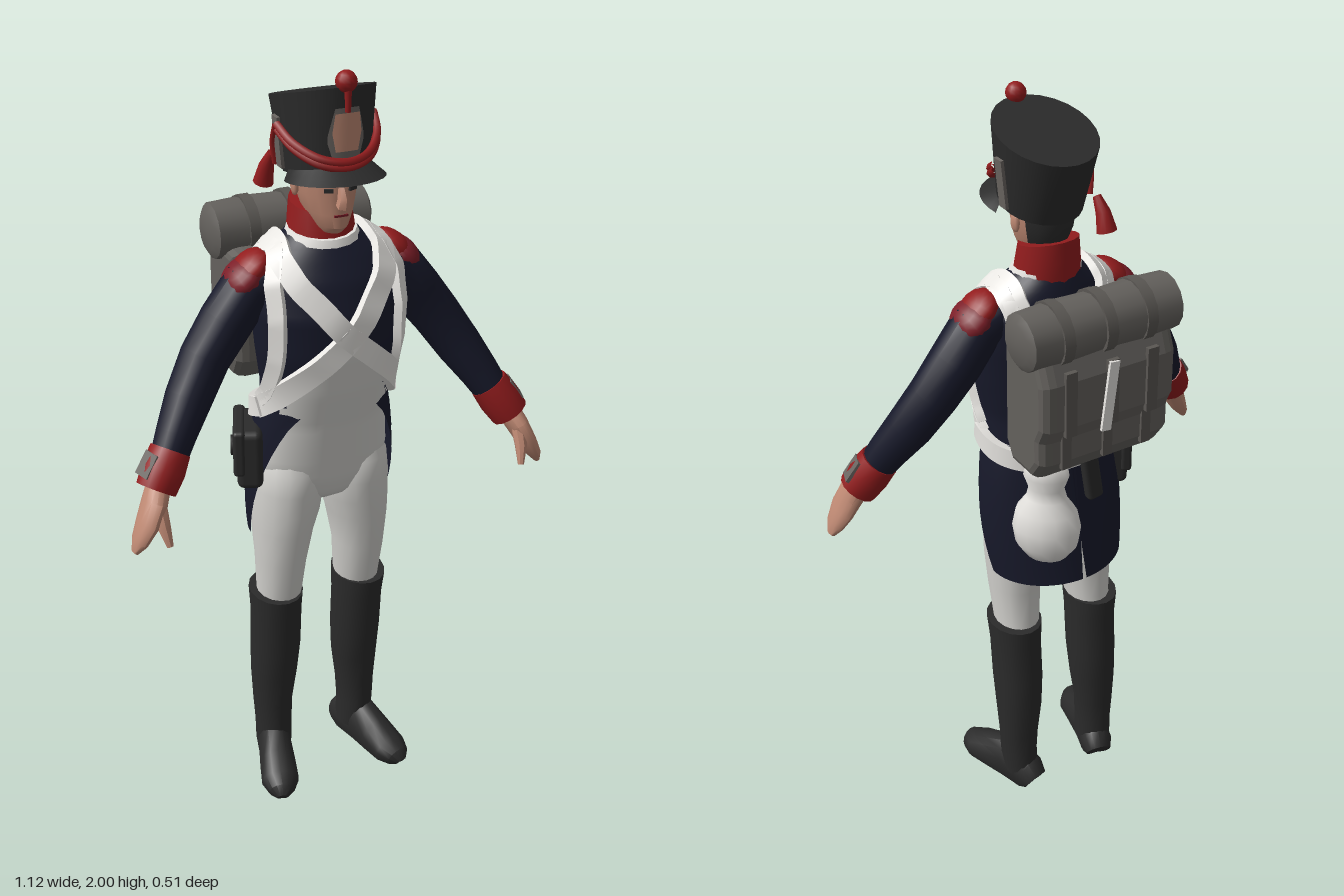
import * as THREE from 'three';
import { toCreasedNormals } from 'three/addons/utils/BufferGeometryUtils.js';
import { RoundedBoxGeometry } from 'three/addons/geometries/RoundedBoxGeometry.js';

const V = (x, y, z) => new THREE.Vector3(x, y, z);
const lerp = THREE.MathUtils.lerp;

function mat(name, color, side = THREE.FrontSide) {
  return new THREE.MeshStandardMaterial({ name, color, side });
}

// Skin over closed rings, capped at both ends; pick(i, j) chooses a material per quad
function loft(rings, pick = () => 0) {
  const n = rings[0].length, pos = [], lists = [];
  rings.forEach(r => r.forEach(p => pos.push(p.x, p.y, p.z)));
  const add = (m, ...t) => (lists[m] ??= []).push(...t);
  for (let i = 0; i < rings.length - 1; i++) for (let j = 0; j < n; j++) {
    const a = i * n + j, b = i * n + (j + 1) % n;
    add(pick(i, j), a, b, b + n, a, b + n, a + n);
  }
  [0, rings.length - 1].forEach((i, top) => {
    const c = rings[i].reduce((s, p) => s.add(p), V(0, 0, 0)).divideScalar(n);
    const k = pos.push(c.x, c.y, c.z) / 3 - 1;
    for (let j = 0; j < n; j++) {
      const a = i * n + j, b = i * n + (j + 1) % n;
      top ? add(pick(i - 1, j), k, a, b) : add(pick(0, j), k, b, a);
    }
  });
  const g = new THREE.BufferGeometry(), index = [];
  lists.forEach((l, m) => { g.addGroup(index.length, l.length, m); index.push(...l); });
  g.setAttribute('position', new THREE.Float32BufferAttribute(pos, 3));
  g.setIndex(index);
  if (lists.length === 1) g.clearGroups();
  return toCreasedNormals(g, 0.7);
}

// Point on an upright ring [y, halfWidth, zFront, zBack, centreX, tilt]; angle 0 is the front
function ringPoint([y, rx, zf, zb, cx = 0, tilt = 0], a) {
  return V(cx + rx * Math.sin(a), y + tilt * Math.cos(a), (zf + zb) / 2 + (zf - zb) / 2 * Math.cos(a));
}
const upright = (rows, segs = 16, pick) =>
  loft(rows.map(r => Array.from({ length: segs }, (_, j) => ringPoint(r, j / segs * Math.PI * 2))), pick);

// Limb along a path of [x, y, z, radius toward ref, radius across]
function limb(path, ref = V(0, 0, 1), segs = 14, floor = -1) {
  const c = path.map(p => V(p[0], p[1], p[2]));
  return loft(path.map((p, i) => {
    const t = c[Math.min(i + 1, c.length - 1)].clone().sub(c[Math.max(i - 1, 0)]).normalize();
    const u = ref.clone().addScaledVector(t, -ref.dot(t)).normalize(), v = t.clone().cross(u);
    return Array.from({ length: segs }, (_, j) => {
      const a = j / segs * Math.PI * 2;
      const q = c[i].clone().addScaledVector(u, p[3] * Math.cos(a)).addScaledVector(v, (p[4] ?? p[3]) * Math.sin(a));
      q.y = Math.max(q.y, floor);
      return q;
    });
  }));
}

// Open sheet from a function of u, v
function sheet(fn, nu, nv) {
  const g = new THREE.PlaneGeometry(1, 1, nu, nv), p = g.attributes.position, uv = g.attributes.uv;
  for (let i = 0; i < p.count; i++) p.setXYZ(i, ...fn(uv.getX(i), 1 - uv.getY(i)).toArray());
  g.computeVertexNormals();
  return g;
}

// Torso surface, shared by the body and the belts
const TORSO = [[0.865, 0.03, 0.075, -0.01], [0.9, 0.12, 0.125, -0.06], [0.95, 0.172, 0.142, -0.075], [1, 0.18, 0.15, -0.078],
  [1.12, 0.166, 0.168, -0.065], [1.22, 0.166, 0.192, -0.055], [1.32, 0.18, 0.208, -0.06], [1.42, 0.188, 0.207, -0.065],
  [1.5, 0.185, 0.178, -0.06], [1.55, 0.15, 0.145, -0.048], [1.59, 0.09, 0.115, -0.035], [1.62, 0.06, 0.1, -0.02]];
function torsoRow(y) {
  let i = TORSO.findIndex(r => r[0] >= y);
  if (i < 1) i = i < 0 ? TORSO.length - 1 : 1;
  const [a, b] = [TORSO[i - 1], TORSO[i]], t = (y - a[0]) / (b[0] - a[0]);
  return a.map((v, k) => lerp(v, b[k], t));
}
const onTorso = (a, y) => ringPoint(torsoRow(y), a);

// Flat strap lying on the torso along [angle, y] points
function strap(points, width, lift = 0.008) {
  const curve = new THREE.CatmullRomCurve3(points.map(([a, y]) => V(a, y, 0)));
  const c = curve.getPoints(56).map(p => {
    const n = onTorso(p.x + 0.1, p.y).sub(onTorso(p.x - 0.1, p.y))
      .cross(onTorso(p.x, p.y + 0.02).sub(onTorso(p.x, p.y - 0.02))).normalize();
    return { p: onTorso(p.x, p.y).addScaledVector(n, lift), n };
  });
  return loft(c.map(({ p, n }, i) => {
    const t = c[Math.min(i + 1, 56)].p.clone().sub(c[Math.max(i - 1, 0)].p).normalize();
    const v = t.cross(n).normalize();
    return [[0.011, -1], [0.011, 1], [-0.01, 1], [-0.01, -1]].map(([h, w]) =>
      p.clone().addScaledVector(n, h).addScaledVector(v, w * width / 2));
  }));
}

export function createModel() {
  const root = new THREE.Group();
  const navy = mat('navy cloth', 0x17192a, THREE.DoubleSide), white = mat('white leather', 0xe9e7e3);
  const linen = mat('trouser linen', 0xd3d2ce), black = mat('black leather', 0x2b2b2b, THREE.DoubleSide);
  const red = mat('red cloth', 0x921c1d), crimson = mat('epaulette crimson', 0x7c1e28);
  const skin = mat('skin', 0xc08a74), grey = mat('pack canvas', 0x64615d);
  const darkStrap = mat('pack strap', 0x5a5753), metal = mat('tarnished metal', 0x6a6561);
  const add = (name, geo, material, x = 0, y = 0, z = 0) => {
    const m = new THREE.Mesh(geo, material);
    m.name = name;
    m.position.set(x, y, z);
    root.add(m);
    return m;
  };

  // Torso: trousers, waistcoat and coat in one surface
  const ys = Array.from({ length: 51 }, (_, i) => 0.865 + i * 0.015);
  add('torso', upright(ys.map(torsoRow), 48, (i, j) => {
    const y = ys[i] + 0.008, a = Math.abs((j + 0.5 > 24 ? j + 0.5 - 48 : j + 0.5) / 48 * Math.PI * 2);
    return (y < 1.15 && a < 1.3) || y < 1 || a < Math.min((1.38 - y) * 5, 1.15) ? 0 : 1;
  }), [linen, navy]);

  for (const s of [1, -1]) {
    const side = s > 0 ? 'left' : 'right';
    // Legs and boots
    const leg = rows => upright(rows.map(([y, rx, zf, zb, cx]) => [y, rx, zf, zb, cx * s]), 16);
    add(side + 'TrouserLeg', leg([[0.55, 0.055, 0.09, -0.05, 0.115], [0.6, 0.06, 0.1, -0.045, 0.112],
      [0.7, 0.067, 0.12, -0.045, 0.111], [0.8, 0.08, 0.135, -0.06, 0.105], [0.86, 0.09, 0.142, -0.07, 0.096],
      [0.92, 0.092, 0.144, -0.07, 0.092], [0.98, 0.088, 0.14, -0.068, 0.09], [1.05, 0.06, 0.1, -0.04, 0.08]]), linen);
    add(side + 'BootShaft', leg([[0.05, 0.048, 0.06, -0.06, 0.124], [0.13, 0.05, 0.062, -0.055, 0.126],
      [0.2, 0.054, 0.06, -0.058, 0.126], [0.3, 0.063, 0.073, -0.065, 0.122], [0.4, 0.067, 0.09, -0.066, 0.12],
      [0.52, 0.067, 0.1, -0.06, 0.12], [0.585, 0.07, 0.112, -0.066, 0.121]]), black);
    const foot = add(side + 'Foot', limb([[-0.062, 0.065, 0.036], [-0.04, 0.1, 0.046], [0.04, 0.135, 0.046],
      [0.1, 0.1, 0.05], [0.16, 0.07, 0.052], [0.195, 0.055, 0.036], [0.21, 0.03, 0.015]]
      .map(([z, h, w]) => [0, h * 0.4, z, h * 0.6, w]), V(0, 1, 0), 14, 0), black, s * 0.126, 0, 0);
    foot.rotation.y = s * 0.27;

    // Arm, cuff with buttoned flap, and hand
    add(side + 'Sleeve', limb([[s * 0.13, 1.505, 0.05, 0.055], [s * 0.19, 1.48, 0.05, 0.066], [s * 0.25, 1.4, 0.052, 0.066],
      [s * 0.31, 1.32, 0.062, 0.062], [s * 0.365, 1.235, 0.09, 0.058], [s * 0.41, 1.165, 0.122, 0.05],
      [s * 0.445, 1.105, 0.148, 0.044]]), navy);
    add(side + 'Cuff', limb([[s * 0.43, 1.135, 0.136, 0.05], [s * 0.455, 1.095, 0.152, 0.054], [s * 0.48, 1.055, 0.166, 0.05]]), red);
    const flap = add(side + 'CuffFlap', new THREE.BoxGeometry(0.06, 0.009, 0.045), metal, s * 0.495, 1.121, 0.158);
    flap.rotation.set(0, -s * 0.3, -s * 0.95, 'YXZ');
    add(side + 'Hand', limb([[s * 0.47, 1.07, 0.162, 0.03], [s * 0.492, 1.03, 0.185, 0.046, 0.028], [s * 0.515, 0.985, 0.196, 0.046, 0.024],
      [s * 0.537, 0.945, 0.2, 0.034, 0.018], [s * 0.551, 0.918, 0.2, 0.014, 0.008]]), skin);
    add(side + 'Thumb', limb([[s * 0.487, 1.035, 0.2, 0.02], [s * 0.484, 0.985, 0.228, 0.016], [s * 0.477, 0.94, 0.245, 0.008]], undefined, 8), skin);

    // Epaulette: red pad with a crimson fringe
    [['EpaulettePad', red, 0.186, 1.525, [0.055, 0.032, 0.056]], ['EpauletteFringe', crimson, 0.205, 1.503, [0.056, 0.038, 0.064]]]
      .forEach(([name, m, x, y, size]) => {
        const pad = add(side + name, new THREE.SphereGeometry(1, 14, 10), m, s * x, y, 0.05);
        pad.scale.set(...size);
        pad.rotation.z = -s * 0.7;
      });

    // Cutaway coat skirt, one panel a side, parting at the back hem
    add(side + 'CoatSkirt', sheet((u, v) => {
      const front = 2.55 - 0.98 * v ** 0.7, t = lerp(-0.03 + 0.06 * v * v, front, u);
      const rx = 0.172 + 0.085 * v - 0.072 * v * v;
      return V(s * rx * Math.sin(t), lerp(1.16, 0.77, v), lerp(0.053, 0.015, v) - lerp(0.122, 0.155, v) * Math.cos(t));
    }, 16, 10), navy);

    // Crossbelts run from the hip over the shoulder and under the pack
    add(side + 'Crossbelt', strap([[-1.5, 1.165], [-1.2, 1.2], [-0.6, 1.28], [0, 1.375], [0.5, 1.48], [0.95, 1.545], [1.57, 1.572],
      [2.3, 1.54], [2.8, 1.42], [3.2, 1.3]].map(([a, y]) => [a * s, y]), 0.056), white);
    add(side + 'PackStrap', strap([[1.45, 1.19], [1.2, 1.25], [1, 1.35], [0.96, 1.46], [1.05, 1.535],
      [1.57, 1.563], [2.2, 1.535], [2.5, 1.47]].map(([a, y]) => [a * s, y]), 0.04), white);

    // Eyes, ears and cap chains
    add(side + 'Eye', new THREE.BoxGeometry(0.022, 0.009, 0.006), black, s * 0.03, 1.722, 0.152).rotation.y = s * 0.4;
    const ear = add(side + 'Ear', new THREE.SphereGeometry(1, 8, 6), skin, s * 0.075, 1.715, 0.06);
    ear.scale.set(0.009, 0.026, 0.016);
    const chain = add(side + 'CapChain', new THREE.BoxGeometry(0.008, 0.12, 0.03), metal, s * 0.112, 1.82, 0.055);
    chain.rotation.z = -s * 0.095;
  }
  add('waistBelt', strap([1.4, 1.9, 2.5, Math.PI, 3.78, 4.38, 4.88].map((a, i) =>
    [a, 1.115 + 0.06 * (Math.abs(i - 3) / 3) ** 2]), 0.05, 0.014), white);

  // Collar, stock and head
  add('collar', upright([[1.565, 0.086, 0.126, -0.038, 0, -0.01], [1.62, 0.08, 0.116, -0.038, 0, -0.012],
    [1.665, 0.075, 0.105, -0.035, 0, -0.016]], 16), red);
  add('collarTrim', upright([[1.585, 0.092, 0.134, -0.034, 0, -0.012], [1.603, 0.085, 0.127, -0.032, 0, -0.012]], 16), white);
  add('head', upright([[1.61, 0.03, 0.135, 0.02], [1.628, 0.04, 0.155, 0.01], [1.66, 0.056, 0.157, -0.01], [1.7, 0.068, 0.157, -0.026],
    [1.74, 0.074, 0.16, -0.03], [1.79, 0.075, 0.162, -0.03]], 16, (i, j) => (i > 1 && j > 4 && j < 11 ? 1 : 0)), [skin, black]);
  add('nose', limb([[0, 1.74, 0.156, 0.008], [0, 1.705, 0.168, 0.018, 0.013], [0, 1.685, 0.165, 0.016, 0.017], [0, 1.678, 0.158, 0.006]], undefined, 6), skin);
  add('mouth', new THREE.BoxGeometry(0.034, 0.005, 0.005), crimson, 0, 1.66, 0.155);

  // Tall flaring cap with a peak
  const base = [1.752, 0.1, 0.178, -0.034, 0, 0.024], crown = [1.927, 0.119, 0.182, -0.09, 0, 0.038];
  const onCap = (a, t, out = 0) => {
    const r = base.map((v, k) => lerp(v, crown[k], t));
    return ringPoint([r[0], r[1] + out, r[2] + out, r[3] - out, 0, r[5]], a);
  };
  add('cap', upright([base, crown], 24), black);
  add('capPeak', sheet((u, v) => {
    const a = (u - 0.5) * 2.9, p = onCap(a, 0.04, 0.06 * v * Math.cos(a * 0.95));
    p.y -= 0.025 * v;
    return p;
  }, 16, 2), black);
  add('capPlateSurround', sheet((u, v) => onCap((0.5 - u) * (0.85 - 0.6 * Math.abs(v - 0.4)), 0.14 + v * 0.62, 0.004), 6, 6), metal);
  add('capPlate', sheet((u, v) => onCap((0.5 - u) * (0.62 - 0.25 * Math.abs(v - 0.5)), 0.24 + v * 0.46, 0.007), 6, 4), skin);
  const tube = (pts, r) => new THREE.TubeGeometry(new THREE.CatmullRomCurve3(pts), 32, r, 6);
  for (const d of [0, 0.07]) {
    add('capCord', tube([-1.5, -1.1, -0.55, 0, 0.55, 1.1, 1.5].map(a =>
      onCap(a, 0.11 - d + 0.52 * (a / 1.5) ** 2, 0.009)), 0.01), red);
  }
  add('hangingCord', tube([onCap(-1.5, 0.65, 0.008), onCap(-1.8, 0.4, 0.01), onCap(-2, 0.1, 0.012)], 0.009), red);
  add('tassel', limb([[-0.098, 1.77, -0.02, 0.01], [-0.104, 1.735, -0.038, 0.018], [-0.108, 1.69, -0.05, 0.025]], undefined, 10), red);
  add('pompomStem', new THREE.CylinderGeometry(0.009, 0.007, 0.06, 8), red, 0, 1.94, 0.185);
  add('pompom', new THREE.SphereGeometry(0.025, 12, 8), red, 0, 1.975, 0.175);

  // Knapsack: a bulging profile drawn as depth behind the back
  const profile = [[0.085, 1.49], [0.08, 1.23], [0.1, 1.195], [0.175, 1.195], [0.2, 1.23], [0.2, 1.29],
    [0.22, 1.33], [0.22, 1.44], [0.2, 1.49]].map(p => new THREE.Vector2(...p));
  const pack = new THREE.ExtrudeGeometry(new THREE.Shape(profile),
    { depth: 0.3, bevelSize: 0.024, bevelThickness: 0.036, bevelSegments: 3 });
  add('knapsack', pack.translate(0, 0, -0.15).rotateY(Math.PI / 2), grey);
  add('blanketRoll', limb([[-0.212, 0.05], [-0.2, 0.07], [-0.1, 0.075], [0, 0.071], [0.1, 0.075], [0.2, 0.07], [0.212, 0.05]]
    .map(([x, r]) => [x, 1.54, -0.169, r]), V(0, 1, 0), 14), grey);
  for (const x of [-0.11, 0, 0.115]) {
    add('blanketStrap', new THREE.CylinderGeometry(0.079, 0.079, 0.028, 14).rotateZ(Math.PI / 2), darkStrap, x, 1.54, -0.169);
    add('flapStrap', new THREE.BoxGeometry(0.03, 0.17, 0.012), darkStrap, x, 1.39, -0.246);
    add('lowerStrap', new THREE.BoxGeometry(0.026, 0.11, 0.012), darkStrap, x, 1.26, -0.225);
  }
  add('whiteTie', new THREE.BoxGeometry(0.026, 0.18, 0.008), white, 0.012, 1.385, -0.254).rotation.z = 0.12;

  // White haversack gathered at the neck, on the left hip
  const sack = [[0, 0], [0.04, 0.01], [0.064, 0.05], [0.07, 0.1], [0.062, 0.15], [0.042, 0.185], [0.036, 0.215],
    [0.046, 0.25], [0.04, 0.3], [0, 0.31]].map(p => new THREE.Vector2(...p));
  const haversack = add('haversack', new THREE.LatheGeometry(sack, 14), white, 0.115, 0.885, -0.138);
  haversack.scale.set(1.25, 1, 0.9);
  haversack.rotation.y = -Math.PI / 4;

  // Cartridge pouch on the right hip, and a short scabbard behind
  const pouch = new THREE.Group();
  pouch.name = 'cartridgePouch';
  pouch.position.set(-0.188, 1.03, 0.03);
  pouch.rotation.y = -1.95;
  [['pouchBox', new RoundedBoxGeometry(0.15, 0.16, 0.065, 2, 0.018), 0, 0],
    ['pouchFlap', new RoundedBoxGeometry(0.16, 0.125, 0.03, 2, 0.01), 0.022, 0.026],
    ['pouchBadge', new THREE.CylinderGeometry(0.026, 0.026, 0.008, 12).rotateX(Math.PI / 2), 0.01, 0.044]].forEach(([n, g, y, z]) => {
    const m = new THREE.Mesh(g, black);
    m.name = n;
    m.position.set(0, y, z);
    pouch.add(m);
  });
  root.add(pouch);
  add('scabbard', new RoundedBoxGeometry(0.045, 0.16, 0.03, 2, 0.01), black, -0.03, 1.08, -0.115).rotation.z = -0.15;
  return root;
}
